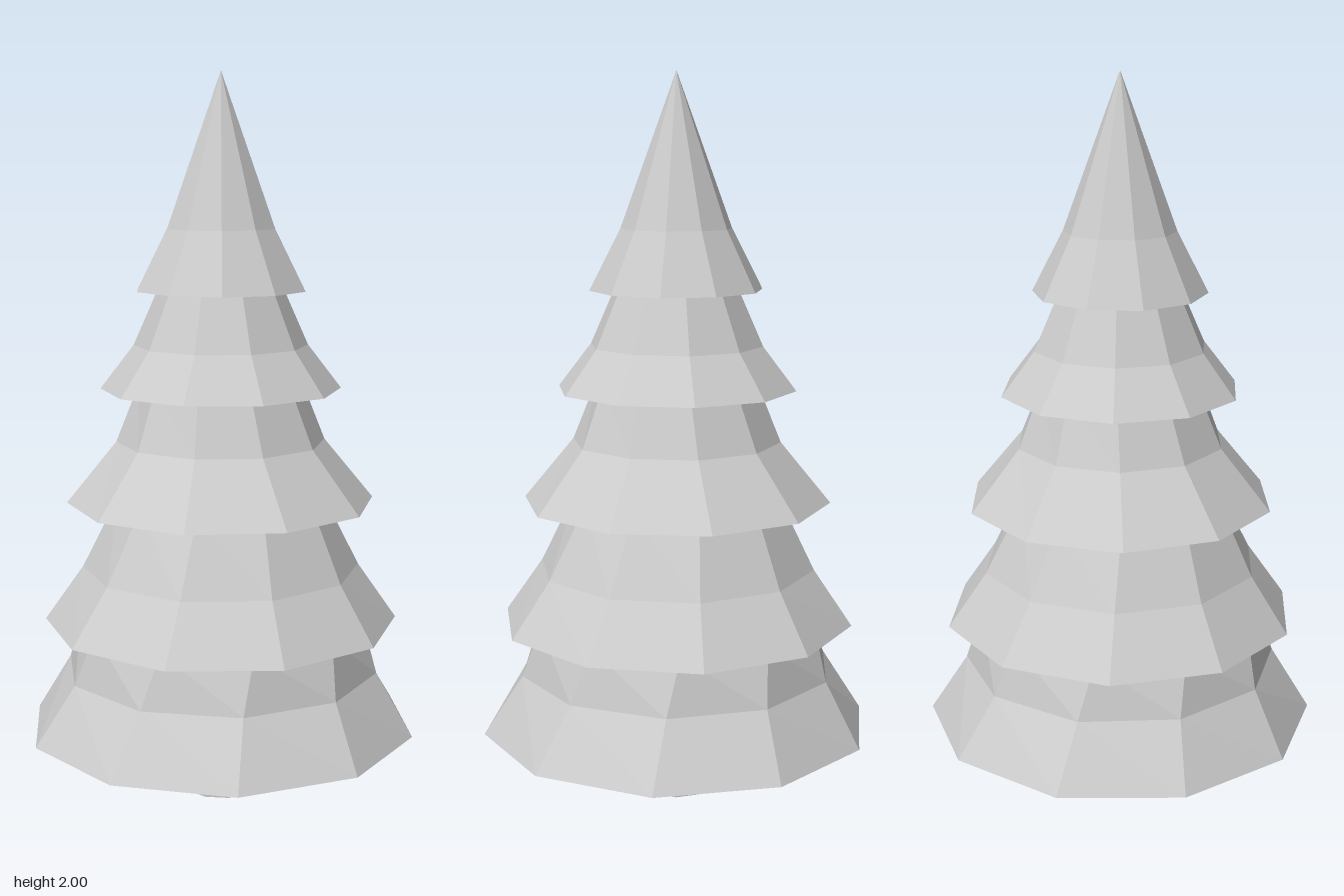
import * as THREE from 'three';

const SIDES = 10;
const rad = THREE.MathUtils.degToRad;

// Each tier: turn of its corners, and rings of [radius, height, extra twist] from the skirt upward
const TIERS = [
  { turn: 6.1, rings: [[0.546, 0.19, 0], [0.44, 0.36, -3], [0.395, 0.51, -8], [0, 0.6, 0]] },
  { turn: -8.5, rings: [[0.492, 0.497, 0], [0.385, 0.65, -1], [0.285, 0.85, -4], [0, 0.95, 0]] },
  { turn: -12.7, rings: [[0.426, 0.837, 0], [0.288, 1.005, 1], [0.222, 1.17, 3], [0, 1.25, 0]] },
  { turn: -8.6, rings: [[0.33, 1.15, 0], [0.238, 1.27, 0], [0.165, 1.435, 0], [0, 1.55, 0]] },
  { turn: 9.8, rings: [[0.237, 1.42, 0], [0.152, 1.585, 0], [0, 2, 0]] },
];

function tierGeometry({ turn, rings }) {
  // Profile starts on the axis so that the underside is closed
  const profile = [[0, rings[0][1], 0], ...rings];
  const geometry = new THREE.LatheGeometry(
    profile.map(([r, y]) => new THREE.Vector2(r, y)), SIDES, rad(90 - turn));

  // Twist each ring about the trunk
  const pos = geometry.attributes.position;
  const v = new THREE.Vector3();
  const up = new THREE.Vector3(0, 1, 0);
  for (let i = 0; i < pos.count; i++) {
    v.fromBufferAttribute(pos, i).applyAxisAngle(up, -rad(profile[i % profile.length][2]));
    pos.setXYZ(i, v.x, v.y, v.z);
  }
  geometry.computeVertexNormals();
  return geometry;
}

export function createModel() {
  const tree = new THREE.Group();
  tree.name = 'pineTree';
  const material = new THREE.MeshStandardMaterial({ color: 0xcccccc, flatShading: true });

  // Trunk, running up into the lowest tier
  const trunk = new THREE.Mesh(
    new THREE.CylinderGeometry(0.105, 0.105, 0.25, SIDES).rotateY(Math.PI / 2), material);
  trunk.name = 'trunk';
  trunk.position.y = 0.125;
  tree.add(trunk);

  // Stacked foliage skirts
  TIERS.forEach((tier, i) => {
    const mesh = new THREE.Mesh(tierGeometry(tier), material);
    mesh.name = `foliageTier${i + 1}`;
    tree.add(mesh);
  });

  return tree;
}
